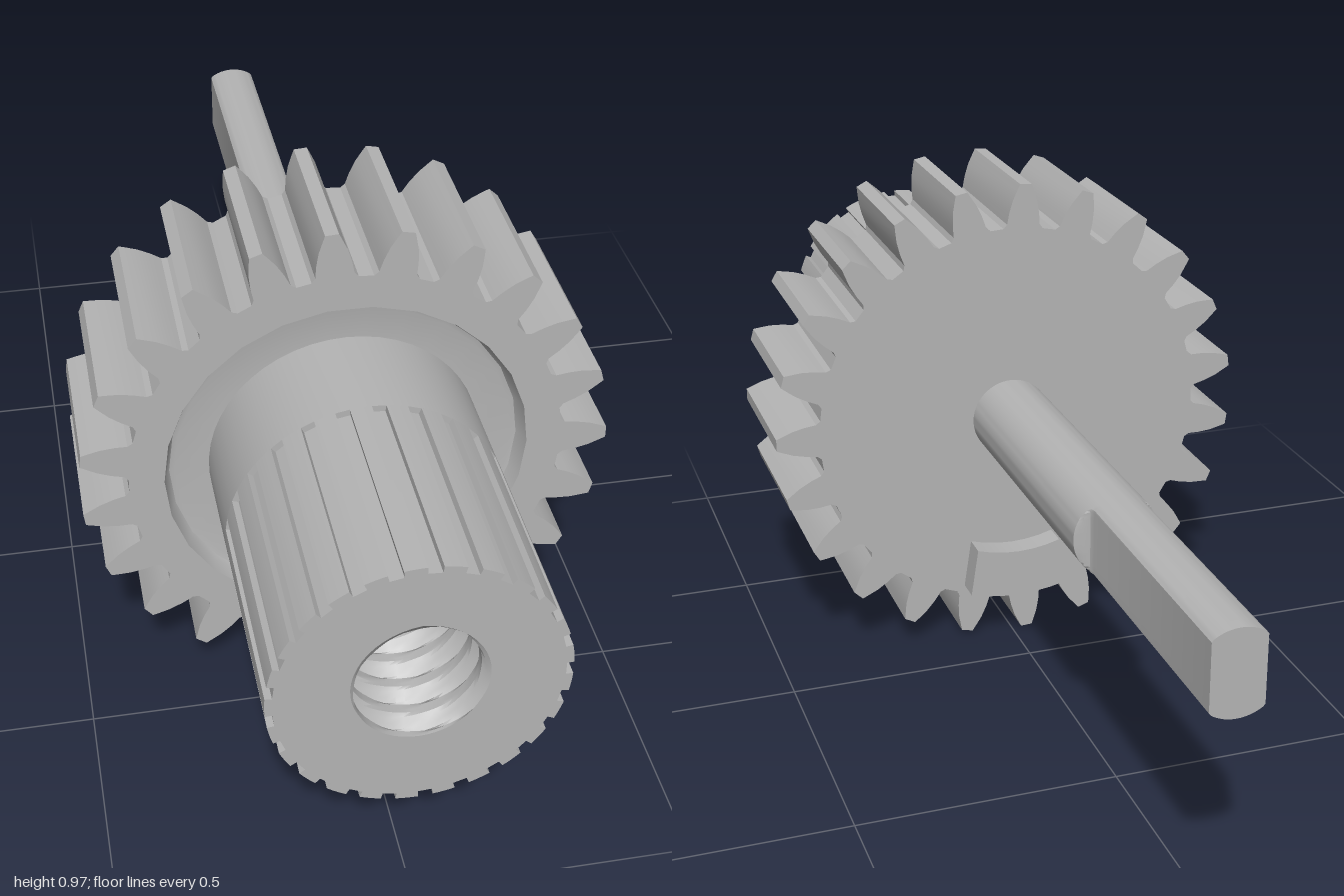
import * as THREE from 'three';
import { toCreasedNormals } from 'three/addons/utils/BufferGeometryUtils.js';

const AXIS_Y = 0.4875, TEETH = 23, GROOVES = 25, DISH_SIDES = 26;
const TAU = Math.PI * 2;
const polar = (r, a) => new THREE.Vector2(r * Math.cos(a), r * Math.sin(a));

const circle = (r, n, start = 0) =>
  Array.from({ length: n }, (_, i) => polar(r, start + (i * TAU) / n));

// Extrudes an outline along z between two depths
function slab(outline, z0, z1, hole) {
  const shape = new THREE.Shape(outline);
  if (hole) shape.holes.push(new THREE.Path(hole));
  const g = new THREE.ExtrudeGeometry(shape, { depth: z1 - z0, bevelEnabled: false });
  g.translate(0, 0, z0);
  return toCreasedNormals(g, 0.5);
}

// Revolves [radius, z] pairs about the z axis
function turned(profile, sides, start = 0) {
  const g = new THREE.LatheGeometry(profile.map(p => new THREE.Vector2(...p)), sides, start);
  return g.rotateX(Math.PI / 2);
}

// Bore radius: a V groove winding as a right-handed helix
function boreRadius(angle, z) {
  const t = (angle - Math.PI / 2) / TAU - (z - 1) / 0.06;
  const u = t - Math.round(t);
  return 0.108 + 0.024 * Math.max(0, 1 - Math.abs(u) / 0.32);
}

export function createModel() {
  const model = new THREE.Group();
  model.name = 'gearShaft';
  const grey = new THREE.MeshStandardMaterial({ color: 0xb4b4b4 });
  grey.name = 'grey';
  const add = (name, geometry) => {
    const mesh = new THREE.Mesh(geometry, grey);
    mesh.name = name;
    mesh.position.y = AXIS_Y;
    model.add(mesh);
  };

  // Toothed rim: one tooth flank, mirrored and repeated
  const flank = [[0.399, 0.041], [0.407, 0.034], [0.43, 0.031], [0.455, 0.025], [0.475, 0.017], [0.487, 0.012]];
  const tooth = [
    ...flank.map(([r, w]) => [r, -w]),
    ...flank.slice().reverse(),
  ];
  const rim = [];
  for (let i = 0; i < TEETH; i++) {
    for (const [r, w] of tooth) rim.push(polar(r, (i * TAU) / TEETH + w / r));
  }
  const half = Math.PI / DISH_SIDES;
  add('gearTeeth', slab(rim, 0.12, 0.42, circle(0.335, DISH_SIDES, half - Math.PI / 2)));

  // Gear web with the shallow dished recess on its front
  add('gearWeb', toCreasedNormals(turned([
    [0, 0.12], [0.335, 0.12], [0.335, 0.42], [0.328, 0.396], [0.323, 0.388], [0.313, 0.385], [0.24, 0.385],
  ], DISH_SIDES, half), 0.5));

  // Plain hub collar, closed by the shoulder where the grooves end
  add('hubCollar', toCreasedNormals(turned([[0.25, 0.38], [0.25, 0.59], [0.2, 0.59]], 50), 0.5));

  // Grooved hub sleeve
  const sleeve = [];
  for (let i = 0; i < GROOVES; i++) {
    const a = (i * TAU) / GROOVES;
    sleeve.push(polar(0.25, a - 0.05), polar(0.238, a - 0.05), polar(0.238, a + 0.05), polar(0.25, a + 0.05));
    sleeve.push(polar(0.25, a + 0.1), polar(0.25, a + 0.15));
  }
  add('groovedSleeve', slab(sleeve, 0.59, 1, circle(0.2, 48)));

  // Hub end face with the threaded opening
  const endShape = new THREE.Shape(circle(0.2, 48));
  endShape.holes.push(new THREE.Path(
    Array.from({ length: 48 }, (_, i) => polar(boreRadius((i * TAU) / 48, 1), (i * TAU) / 48))));
  add('hubEndFace', new THREE.ShapeGeometry(endShape).translate(0, 0, 1));

  // Threaded bore wall, facing inward
  const bore = new THREE.PlaneGeometry(1, 1, 48, 84);
  const bp = bore.attributes.position;
  for (let i = 0; i < bp.count; i++) {
    const a = -(bp.getX(i) + 0.5) * TAU, z = 0.75 + bp.getY(i) * 0.5;
    const p = polar(boreRadius(a, z), a);
    bp.setXYZ(i, p.x, p.y, z);
  }
  add('threadedBore', toCreasedNormals(bore, 0.5));
  add('boreFloor', new THREE.CircleGeometry(0.14, 48).translate(0, 0, 0.5));

  // Stop tab: a ring sector through the gear, standing out at the back
  const tab = [];
  const down = -Math.PI / 2;
  for (let i = 0; i <= 6; i++) tab.push(polar(0.383, down + 0.274 * (i / 3 - 1)));
  for (let i = 6; i >= 0; i--) tab.push(polar(0.283, down + 0.318 * (i / 3 - 1)));
  add('stopTab', slab(tab, 0.07, 0.422));

  // Shaft with two flats: rings are clamped in x to the flat width
  const rings = [[-1, 0.048], [-0.495, 0.048], [-0.485, 0.052], [-0.478, 0.062], [-0.474, 0.08], [0.13, 0.08]];
  const shaft = turned([[0, -1], ...rings.map(([z]) => [0.08, z])], 64);
  const sp = shaft.attributes.position;
  for (let i = 0; i < sp.count; i++) {
    const z = sp.getZ(i);
    const limit = rings.find(r => Math.abs(r[0] - z) < 1e-4)[1];
    sp.setX(i, THREE.MathUtils.clamp(sp.getX(i), -limit, limit));
  }
  add('shaft', toCreasedNormals(shaft, 0.4));

  return model;
}
